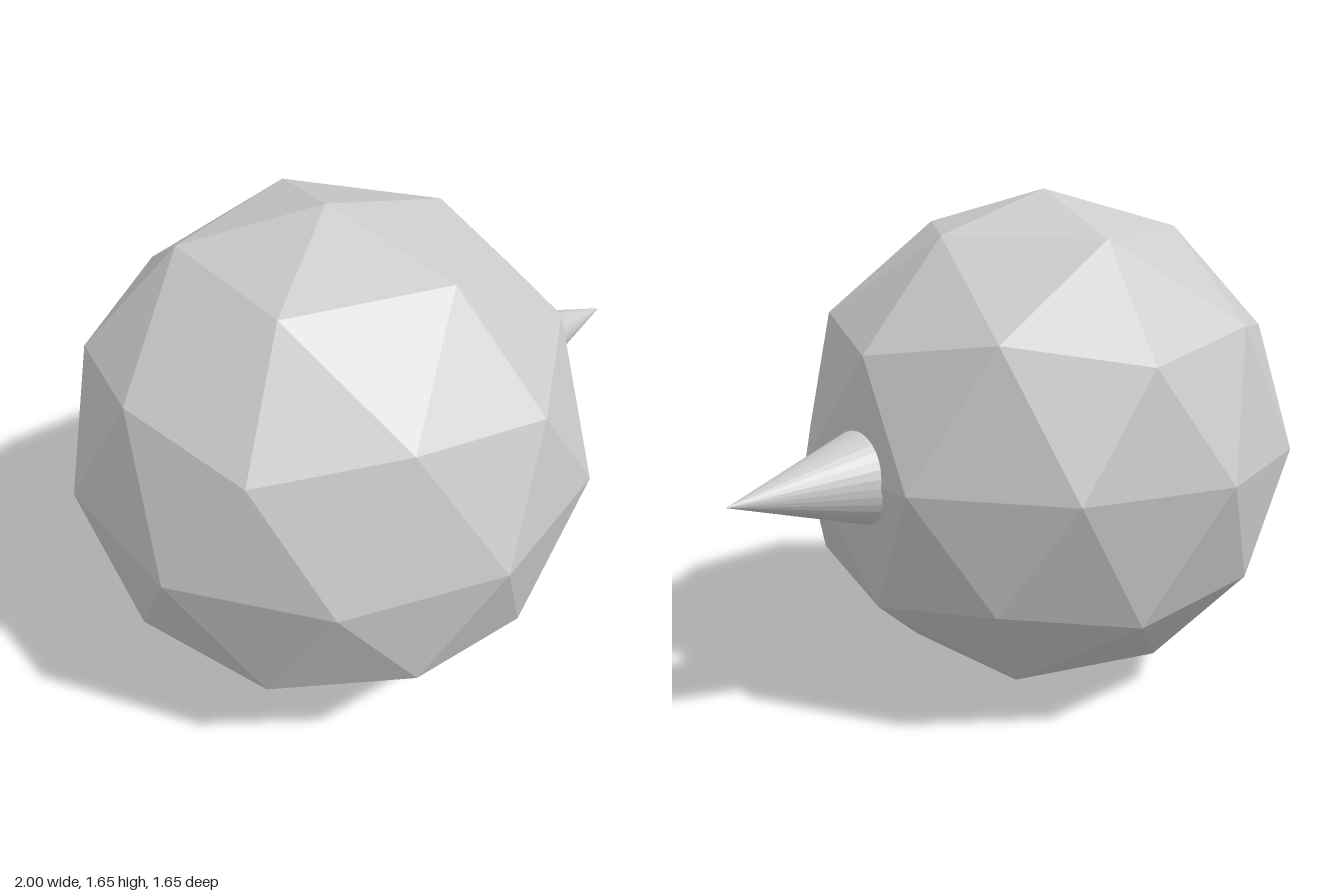
import * as THREE from 'three';

const RADIUS = 0.823;
const CENTRE = new THREE.Vector3(-0.217, RADIUS, 0);
const TIP_X = 1;
const BASE_X = 0.45; // cone base, sunk inside the ball
const SLOPE = 0.318; // cone radius per unit of length

export function createModel() {
  const model = new THREE.Group();
  const material = new THREE.MeshStandardMaterial({ color: 0xcccccc, flatShading: true });

  // Faceted ball, turned so that one icosahedron corner points straight up
  const ballGeometry = new THREE.IcosahedronGeometry(RADIUS, 1);
  ballGeometry.rotateZ(-Math.atan(2 / (1 + Math.sqrt(5))));
  const ball = new THREE.Mesh(ballGeometry, material);
  ball.name = 'ball';
  ball.position.copy(CENTRE);
  model.add(ball);

  // Cone spike pointing to the left side (+x)
  const length = TIP_X - BASE_X;
  const spikeGeometry = new THREE.ConeGeometry(length * SLOPE, length, 32);
  spikeGeometry.rotateZ(-Math.PI / 2);
  const spike = new THREE.Mesh(spikeGeometry, material);
  spike.name = 'spike';
  spike.position.set((TIP_X + BASE_X) / 2, CENTRE.y, 0);
  model.add(spike);

  return model;
}
